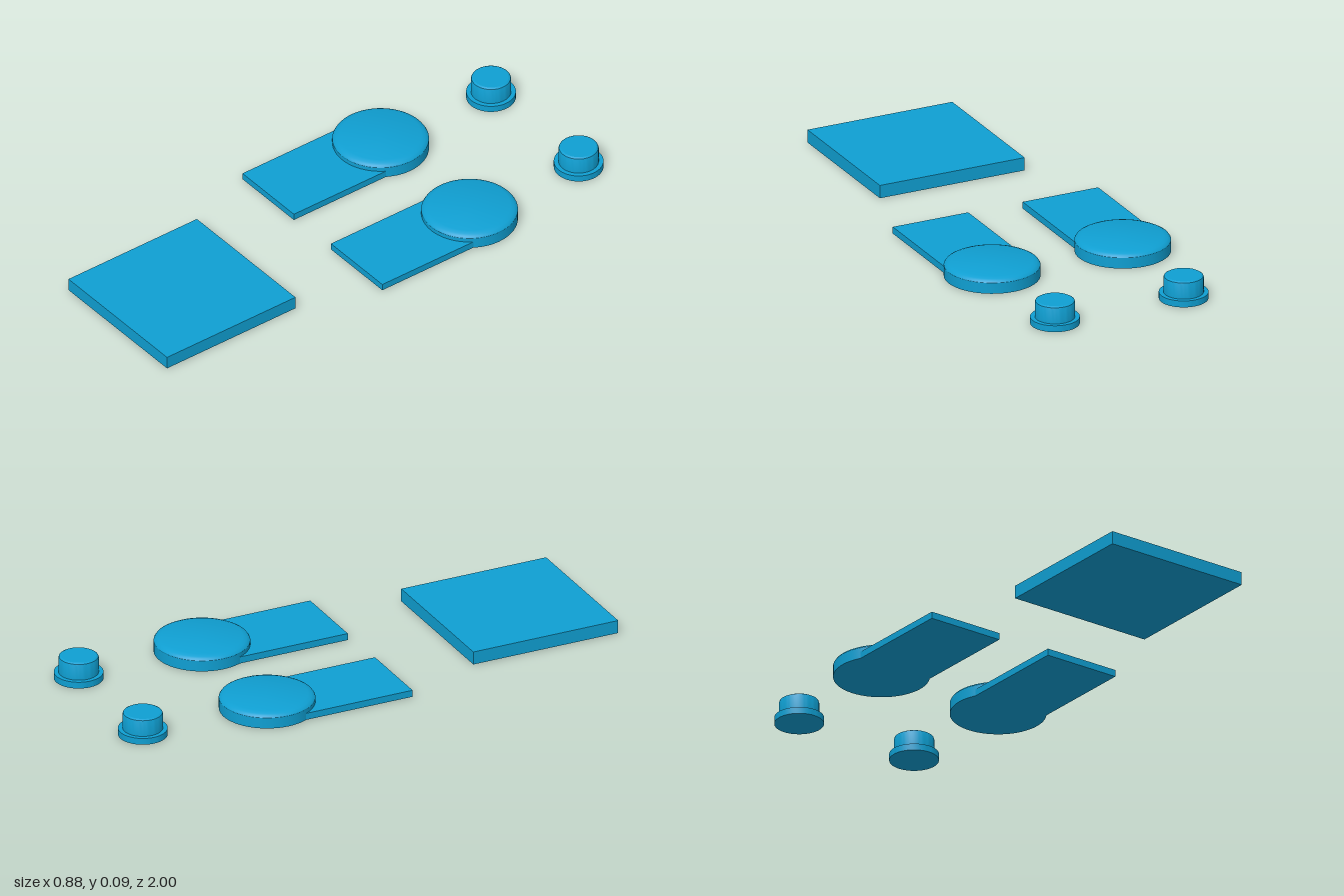
import * as THREE from 'three';
import { toCreasedNormals } from 'three/addons/utils/BufferGeometryUtils.js';

const material = new THREE.MeshStandardMaterial({ color: 0x0f9fd2 });

function addMesh(parent, name, geometry, x, y, z) {
  const mesh = new THREE.Mesh(geometry, material);
  mesh.name = name;
  mesh.position.set(x, y, z);
  parent.add(mesh);
  return mesh;
}

// Solid of revolution from [radius, height] pairs, with crisp edges
function turned(profile) {
  const points = profile.map(([r, y]) => new THREE.Vector2(r, y));
  return toCreasedNormals(new THREE.LatheGeometry(points, 64), 0.5);
}

export function createModel() {
  const model = new THREE.Group();
  model.name = 'flatParts';

  // Square plate at the front
  addMesh(model, 'squarePlate', new THREE.BoxGeometry(0.585, 0.05, 0.585), 0.0125, 0.028, 0.7075);

  // Round pad with a softened top rim
  const padShape = turned([
    [0, 0.002], [0.175, 0.002], [0.175, 0.044], [0.171, 0.05],
    [0.162, 0.055], [0.148, 0.06], [0, 0.06],
  ]);
  // Flanged button: wide base, narrower cap with a small chamfer
  const buttonShape = turned([
    [0, 0.002], [0.09, 0.002], [0.09, 0.027], [0.073, 0.027],
    [0.073, 0.083], [0.071, 0.089], [0.064, 0.093], [0, 0.093],
  ]);
  const tongueShape = new THREE.BoxGeometry(0.305, 0.026, 0.51);

  // Matching pairs on both sides
  for (const [side, s] of [['left', 1], ['right', -1]]) {
    const paddle = new THREE.Group();
    paddle.name = side + 'Paddle';
    paddle.position.set(s * 0.264, 0, -0.41);
    addMesh(paddle, side + 'Pad', padShape, 0, 0, 0);
    addMesh(paddle, side + 'Tongue', tongueShape, s > 0 ? -0.006 : -0.003, 0.015, 0.255);
    model.add(paddle);
    addMesh(model, side + 'Button', buttonShape, s * 0.26, 0, -0.91);
  }
  return model;
}
